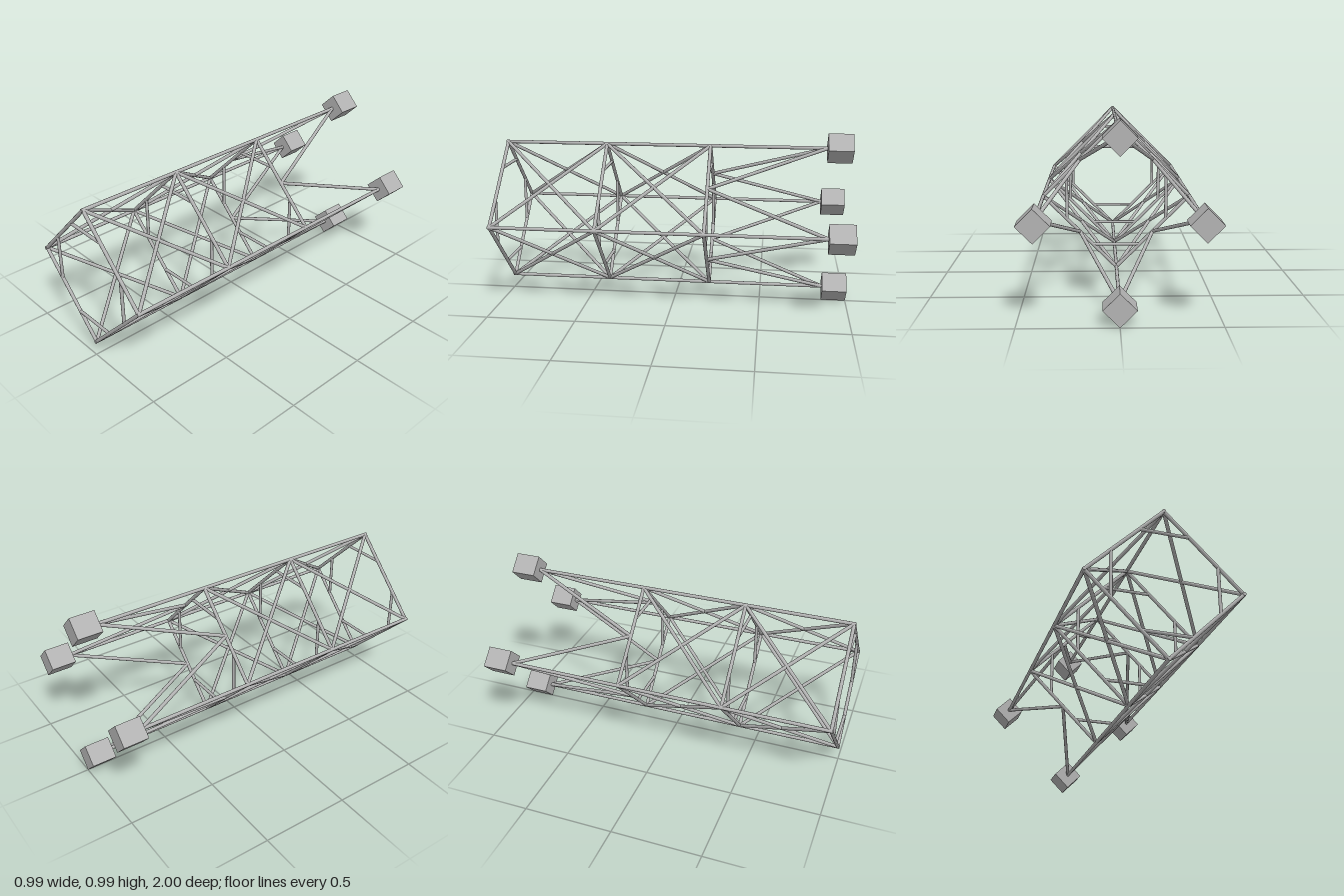
import * as THREE from 'three';

const R = 0.41, CY = 0.495, TUBE = 0.01;
const FRAMES = [0.99, 0.4, -0.2];
const BOX_FRONT = -0.86;

export function createModel() {
  const model = new THREE.Group();
  model.name = 'trussSegment';
  const grey = new THREE.MeshStandardMaterial({ color: 0xb2b2b2 });
  grey.name = 'metalGrey';

  // Corner k of the diamond section at depth z
  const corner = (k, z) => {
    const a = (k * Math.PI) / 2;
    return new THREE.Vector3(R * Math.cos(a), CY + R * Math.sin(a), z);
  };

  // Round strut between two points
  const up = new THREE.Vector3(0, 1, 0);
  const strut = (name, a, b, r = TUBE) => {
    const dir = b.clone().sub(a);
    const mesh = new THREE.Mesh(new THREE.CylinderGeometry(r, r, dir.length(), 10), grey);
    mesh.position.copy(a).add(b).multiplyScalar(0.5);
    mesh.quaternion.setFromUnitVectors(up, dir.normalize());
    mesh.name = name;
    model.add(mesh);
  };

  for (let k = 0; k < 4; k++) {
    // Long corner rail and its end block
    strut('cornerRail', corner(k, 1), corner(k, BOX_FRONT - 0.01));
    const block = new THREE.Mesh(new THREE.BoxGeometry(0.119, 0.119, 0.14), grey);
    block.position.copy(corner(k, -0.93));
    block.rotation.z = Math.PI / 4;
    block.name = 'endBlock';
    model.add(block);

    // Diamond frames with a short brace across each corner
    for (const z of FRAMES) {
      const c = corner(k, z);
      strut('frameBar', c, corner(k + 1, z));
      strut('cornerBrace',
        c.clone().lerp(corner(k + 1, z), 0.32),
        c.clone().lerp(corner(k + 3, z), 0.32), 0.009);
    }

    // Crossed diagonals in both bays of this side
    for (let i = 0; i < 2; i++) {
      strut('diagonal', corner(k, FRAMES[i]), corner(k + 1, FRAMES[i + 1]));
      strut('diagonal', corner(k + 1, FRAMES[i]), corner(k, FRAMES[i + 1]));
    }

    // V struts from the middle of the last frame bar to the end blocks
    const mid = corner(k, FRAMES[2]).lerp(corner(k + 1, FRAMES[2]), 0.5);
    strut('blockStrut', mid, corner(k, BOX_FRONT));
    strut('blockStrut', mid, corner(k + 1, BOX_FRONT));
  }
  return model;
}
